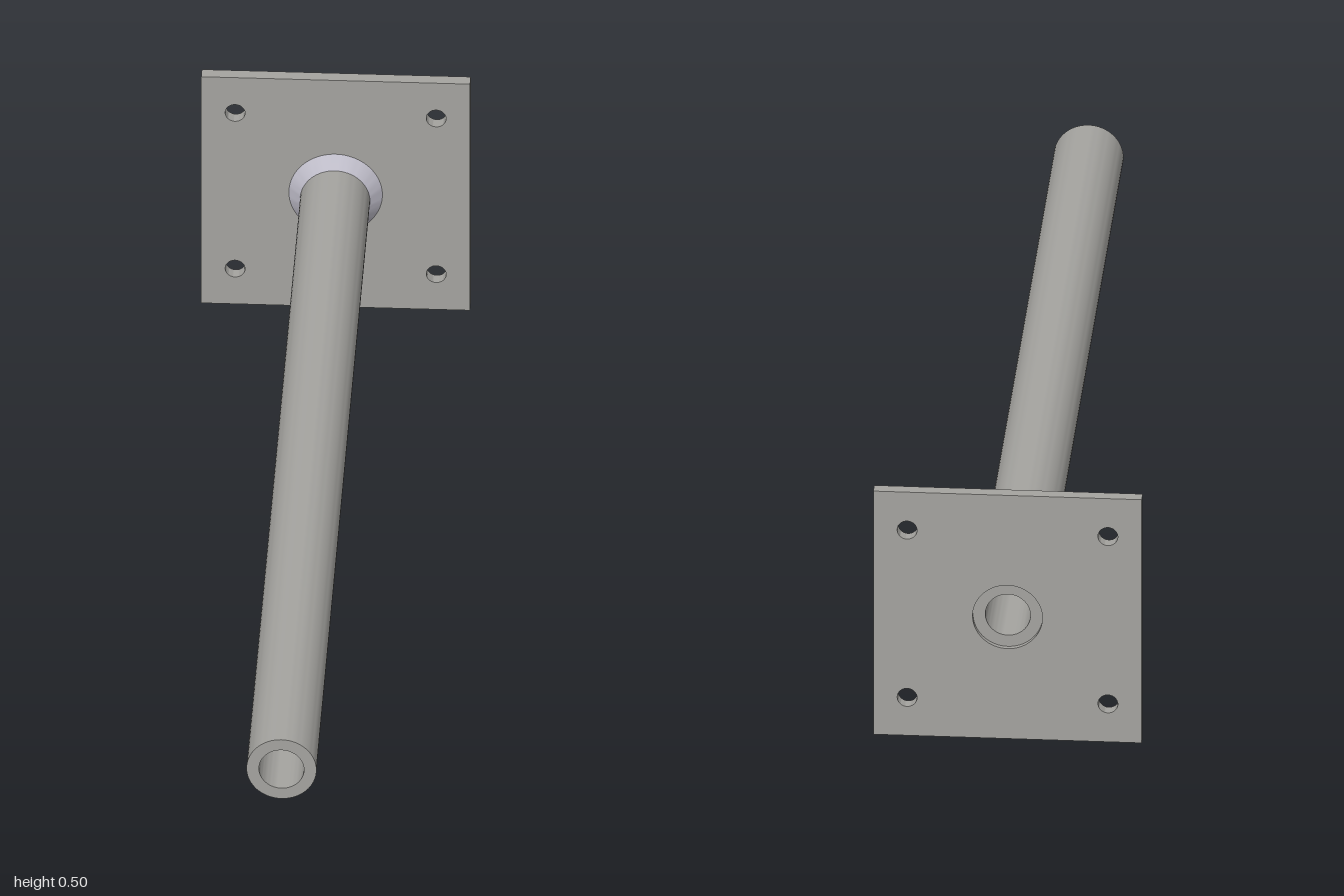
import * as THREE from 'three';
import { toCreasedNormals } from 'three/addons/utils/BufferGeometryUtils.js';

const CENTER_Y = 0.25;
const PIPE_R = 0.065;
const BORE_R = 0.042;
const PLATE_FRONT = -0.975;

// Revolve a [radius, z] profile around the pipe's axis
function revolve(name, profile, material) {
  const points = profile.map(([r, z]) => new THREE.Vector2(r, z));
  const geometry = new THREE.LatheGeometry(points, 64);
  geometry.rotateX(Math.PI / 2);
  const mesh = new THREE.Mesh(toCreasedNormals(geometry, 0.6), material);
  mesh.name = name;
  mesh.position.y = CENTER_Y;
  return mesh;
}

export function createModel() {
  const group = new THREE.Group();
  group.name = 'flangedPipe';
  const steel = new THREE.MeshStandardMaterial({ color: 0xa5a4a0 });
  const weldMetal = new THREE.MeshStandardMaterial({ color: 0xbdbbc7 });

  // Square mounting plate with a pipe socket and four bolt holes
  const shape = new THREE.Shape();
  shape.moveTo(-0.25, -0.25).lineTo(0.25, -0.25).lineTo(0.25, 0.25).lineTo(-0.25, 0.25).closePath();
  const addHole = (x, y, r) => shape.holes.push(new THREE.Path().absarc(x, y, r, 0, Math.PI * 2, true));
  addHole(0, 0, PIPE_R);
  for (const sx of [-1, 1]) {
    for (const sy of [-1, 1]) addHole(sx * 0.187, sy * 0.172, 0.0185);
  }
  const plateGeometry = new THREE.ExtrudeGeometry(shape, { depth: 0.025, bevelEnabled: false, curveSegments: 32 });
  const plate = new THREE.Mesh(toCreasedNormals(plateGeometry, 0.6), steel);
  plate.name = 'mountingPlate';
  plate.position.set(0, CENTER_Y, -1);
  group.add(plate);

  // Hollow pipe, its rear end set slightly inside the plate
  group.add(revolve('pipe', [
    [BORE_R, -0.99], [PIPE_R, -0.99], [PIPE_R, 1], [BORE_R, 1], [BORE_R, -0.99],
  ], steel));

  // Conical fillet weld between plate and pipe
  group.add(revolve('filletWeld', [[0.087, PLATE_FRONT], [PIPE_R, -0.952]], weldMetal));

  return group;
}
